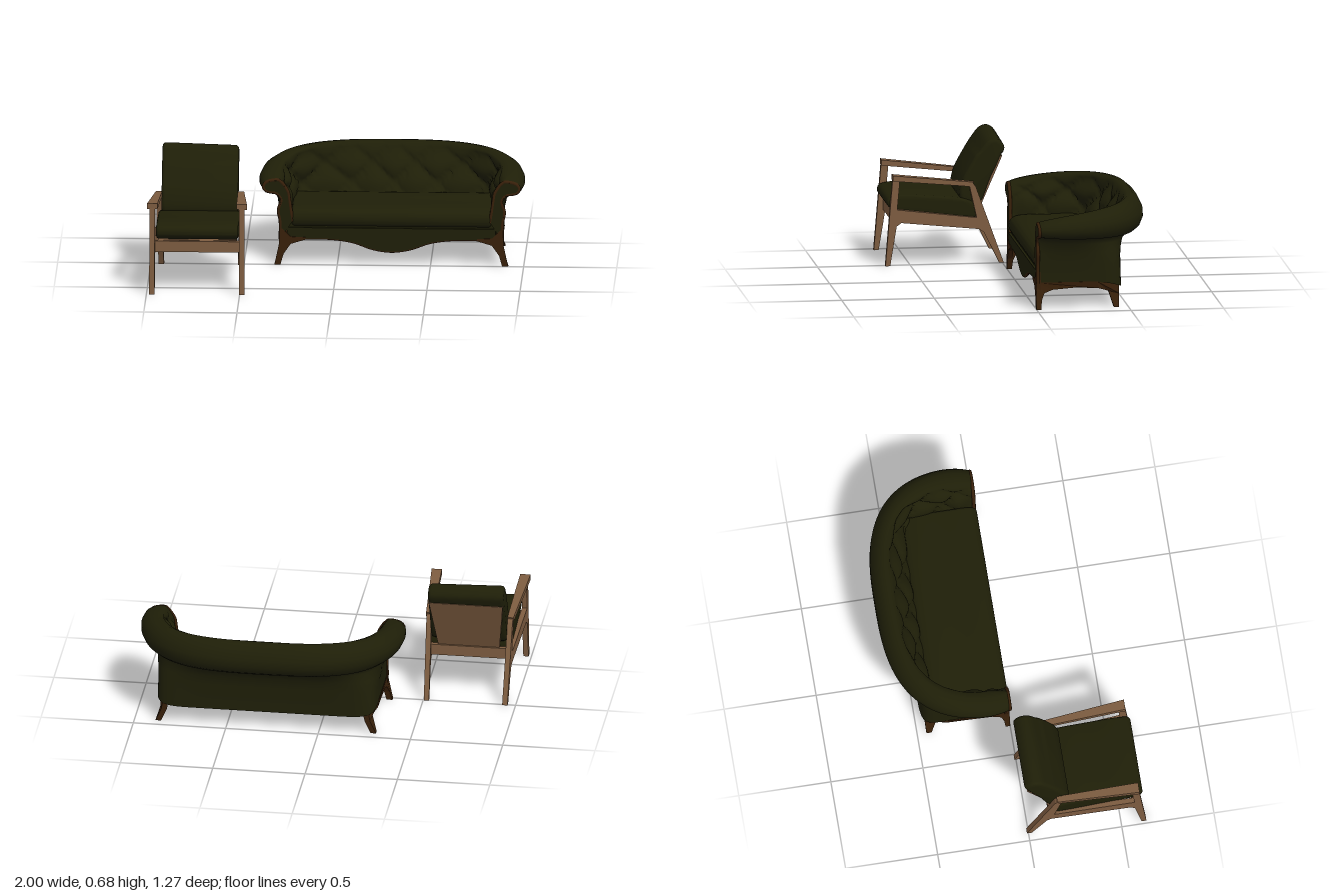
import * as THREE from 'three';
import { toCreasedNormals } from 'three/addons/utils/BufferGeometryUtils.js';

const paint = (name, color, side = THREE.FrontSide) => {
  const m = new THREE.MeshStandardMaterial({ color, side });
  m.name = name;
  return m;
};

function add(parent, name, geometry, material) {
  const mesh = new THREE.Mesh(geometry, material);
  mesh.name = name;
  parent.add(mesh);
  return mesh;
}

const shapeOf = (pts) => new THREE.Shape(pts.map(([a, b]) => new THREE.Vector2(a, b)));

// Closed smooth outline through a few points
function smoothOutline(pts) {
  const curve = new THREE.CatmullRomCurve3(pts.map(([a, b]) => new THREE.Vector3(a, b, 0)), true);
  return curve.getPoints(48).slice(0, -1).map((p) => [p.x, p.y]);
}

// Extrudes a (z, y) outline across x, centred on x = 0
function sideExtrude(pts, width, bevel = 0, hole = null) {
  const shape = shapeOf(pts);
  if (hole) shape.holes.push(shapeOf(hole));
  const depth = width - 2 * bevel;
  const g = new THREE.ExtrudeGeometry(shape, {
    depth, bevelEnabled: bevel > 0, bevelSize: bevel, bevelThickness: bevel, bevelOffset: -bevel, bevelSegments: 4,
  });
  return g.translate(0, 0, -depth / 2).rotateY(-Math.PI / 2);
}

// Moves every vertex by a rule
function warp(geometry, rule) {
  const p = geometry.attributes.position, v = new THREE.Vector3();
  for (let i = 0; i < p.count; i++) {
    rule(v.fromBufferAttribute(p, i));
    p.setXYZ(i, v.x, v.y, v.z);
  }
  geometry.computeVertexNormals();
  return geometry;
}

function createArmchair(fabric, wood) {
  const chair = new THREE.Group();
  chair.name = 'armchair';
  chair.position.x = -0.73;

  // Side frames: legs, rail and arm in one outline, closer together at the back
  const outline = [[0.636, 0], [0.595, 0.492], [0.165, 0.443], [0.145, 0.42], [-0.008, 0], [0.017, 0],
    [0.1, 0.168], [0.125, 0.187], [0.55, 0.233], [0.575, 0.215], [0.61, 0]];
  const opening = [[0.558, 0.462], [0.572, 0.305], [0.14, 0.25], [0.178, 0.42]];
  const armTop = [[0.597, 0.494], [0.597, 0.464], [0.165, 0.42], [0.155, 0.444]];
  for (const s of [1, -1]) {
    const centre = (z) => s * (0.2125 + 0.0275 * z / 0.6);
    const label = s > 0 ? 'left' : 'right';
    add(chair, label + 'Frame', warp(sideExtrude(outline, 0.028, 0, opening), (v) => { v.x += centre(v.z); }), wood);
    add(chair, label + 'Armrest', warp(sideExtrude(armTop, 1), (v) => {
      v.x = centre(v.z) + v.x * (0.026 + 0.05 * v.z);
    }), wood);
  }

  // Cross rails and seat board
  const rail = (name, z, y, w) => add(chair, name, new THREE.BoxGeometry(w, 0.06, 0.025), wood).position.set(0, y, z);
  rail('frontRail', 0.575, 0.253, 0.46);
  rail('backRail', 0.122, 0.25, 0.42);
  add(chair, 'seatBoard', sideExtrude([[0.57, 0.285], [0.13, 0.25], [0.13, 0.235], [0.57, 0.27]], 0.42), wood);

  // Back board, narrower at the bottom
  add(chair, 'backBoard', warp(sideExtrude([[0.012, 0.578], [-0.002, 0.578], [0.128, 0.26], [0.142, 0.26]], 0.4),
    (v) => { v.x *= 0.82 + 0.18 * (v.y - 0.26) / 0.32; }), wood);

  // Cushions
  const seat = smoothOutline([[0.62, 0.325], [0.615, 0.36], [0.56, 0.378], [0.38, 0.37], [0.2, 0.35], [0.145, 0.32],
    [0.14, 0.252], [0.2, 0.246], [0.4, 0.268], [0.57, 0.292]]);
  add(chair, 'seatCushion', toCreasedNormals(sideExtrude(seat, 0.44, 0.016), 0.7), fabric);
  const back = smoothOutline([[0.225, 0.35], [0.215, 0.44], [0.165, 0.54], [0.108, 0.63], [0.07, 0.672], [0.025, 0.68],
    [-0.015, 0.64], [0, 0.585], [0.06, 0.46], [0.122, 0.32], [0.18, 0.315]]);
  add(chair, 'backCushion', toCreasedNormals(warp(sideExtrude(back, 0.41, 0.02), (v) => {
    if (v.y > 0.6) v.y -= 0.012 * (v.x + 0.2) / 0.4;
  }), 0.7), fabric);
  return chair;
}

function createSofa(fabric, openFabric, wood) {
  const sofa = new THREE.Group();
  sofa.name = 'sofa';
  sofa.position.x = 0.29;

  // Section of back and arms, outside to inside: half width, depth, height, squareness
  const levels = [[0.595, 0.475, 0.14, 14], [0.595, 0.475, 0.24, 11], [0.605, 0.485, 0.3, 7], [0.62, 0.51, 0.345, 4.5],
    [0.65, 0.55, 0.372, 3.4], [0.68, 0.59, 0.375, 3], [0.707, 0.62, 0.395, 2.8], [0.72, 0.635, 0.435, 2.8],
    [0.72, 0.632, 0.475, 2.8], [0.705, 0.61, 0.52, 2.8], [0.675, 0.58, 0.546, 2.8], [0.635, 0.55, 0.552, 2.9]];
  const outerCount = levels.length, tuftRows = 16;
  for (let k = 0; k <= tuftRows; k++) {
    const v = k / tuftRows;
    levels.push([0.6 - 0.07 * v ** 0.7, 0.53 - 0.14 * v, 0.54 - 0.3 * v, 3 + 4 * v]);
  }
  const armHeight = (y) => (y < 0.3 ? y : y < 0.375 ? 0.3 + (y - 0.3) * 1.33 : 0.4 + (y - 0.375) * 0.37);

  function surface(i, t) {
    const [w, d, y, n] = levels[i];
    const a = Math.PI * t, c = Math.cos(a), s = Math.sin(a);
    const r = (Math.abs(c) ** n + Math.abs(s) ** n) ** (-1 / n);
    const f = Math.max(0, Math.min(1, r * s));
    let puff = 0;
    if (i >= outerCount) {
      // Diamond tufting
      const v = (i - outerCount) / tuftRows;
      const diamond = Math.abs(Math.sin(Math.PI * (8 * t + 1.5 * v)) * Math.sin(Math.PI * (8 * t - 1.5 * v)));
      puff = 0.045 * (Math.sqrt(diamond) - 0.5) * Math.sin(Math.PI * v) * Math.min(1, f * 4);
    }
    const flare = w > 0.61 ? 1 - 0.05 * (1 - f) ** 8 : 1;
    const h = THREE.MathUtils.lerp(armHeight(y), y, f ** 0.6) - (i === 0 ? 0.04 * f ** 8 : 0);
    return new THREE.Vector3((w - puff) * r * c * flare, h, -(d - puff) * r * s);
  }

  const cols = 128, pos = [], idx = [];
  levels.forEach((_, i) => {
    for (let j = 0; j <= cols; j++) pos.push(...surface(i, j / cols).toArray());
  });
  for (let i = 0; i < levels.length - 1; i++) {
    for (let j = 0; j < cols; j++) {
      const a = i * (cols + 1) + j, b = a + cols + 1;
      idx.push(a, a + 1, b, a + 1, b + 1, b);
    }
  }
  const shell = new THREE.BufferGeometry();
  shell.setAttribute('position', new THREE.Float32BufferAttribute(pos, 3));
  shell.setIndex(idx);
  shell.computeVertexNormals();
  add(sofa, 'tuftedBackAndArms', shell, openFabric);

  // Arm fronts with wooden edging
  for (const t of [0, 1]) {
    const edge = levels.map((_, i) => surface(i, t));
    const label = t ? 'right' : 'left';
    add(sofa, label + 'ArmFront', new THREE.ShapeGeometry(shapeOf(edge.map((p) => [p.x, p.y]))), openFabric).position.z = -0.002;
    const path = new THREE.CatmullRomCurve3(edge.map((p) => p.setZ(-0.01)));
    add(sofa, label + 'ArmEdging', new THREE.TubeGeometry(path, 60, 0.01, 8), wood);
  }

  // Seat and cushion
  const seat = smoothOutline([[-0.002, 0.23], [-0.002, 0.275], [-0.03, 0.302], [-0.2, 0.31], [-0.4, 0.3], [-0.435, 0.25],
    [-0.4, 0.205], [-0.2, 0.2], [-0.03, 0.205]]);
  add(sofa, 'seatCushion', toCreasedNormals(sideExtrude(seat, 1.07, 0.015), 0.7), fabric);
  add(sofa, 'seatBase', new THREE.BoxGeometry(1.12, 0.08, 0.42), fabric).position.set(0, 0.19, -0.225);

  // Scalloped front apron with wooden edging
  const half = [[0.56, 0.115], [0.51, 0.138], [0.43, 0.146], [0.3, 0.142], [0.2, 0.125], [0.1, 0.09]];
  const scallop = [...half.map(([x, y]) => [-x, y]), [0, 0.076], ...half.slice().reverse()];
  const lower = new THREE.CatmullRomCurve3(scallop.map(([x, y]) => new THREE.Vector3(x, y, -0.01)));
  const apron = shapeOf([...lower.getPoints(60).map((p) => [p.x, p.y]), [0.56, 0.205], [-0.56, 0.205]]);
  add(sofa, 'frontApron', new THREE.ExtrudeGeometry(apron, { depth: 0.02, bevelEnabled: false }), fabric).position.z = -0.022;
  add(sofa, 'apronEdging', new THREE.TubeGeometry(lower, 80, 0.008, 8), wood);

  // Underside board, set inside the shell
  const base = Array.from({ length: 65 }, (_, j) => surface(0, j / 64)).map((p) => [p.x * 0.98, 0.025 - p.z * 0.92]);
  const board = new THREE.ExtrudeGeometry(shapeOf(base), { depth: 0.01, bevelEnabled: false }).rotateX(-Math.PI / 2);
  add(sofa, 'undersideBoard', board, wood).position.y = 0.138;

  // Side rails with splayed front and back legs
  const sideRail = [[0, 0.142], [0, 0], [-0.025, 0], [-0.03, 0.05], [-0.045, 0.085], [-0.09, 0.102], [-0.22, 0.112],
    [-0.34, 0.104], [-0.395, 0.085], [-0.422, 0], [-0.45, 0], [-0.452, 0.07], [-0.455, 0.142], [-0.33, 0.142]];
  const frontLeg = [[0.6, 0.2], [0.602, 0.1], [0.625, 0], [0.595, 0], [0.578, 0.06], [0.54, 0.115], [0.46, 0.14],
    [0.46, 0.152], [0.54, 0.155], [0.585, 0.2]];
  for (const s of [1, -1]) {
    const label = s > 0 ? 'left' : 'right';
    add(sofa, label + 'SideRailAndLegs', warp(sideExtrude(sideRail, 0.03), (v) => {
      const rear = THREE.MathUtils.clamp((-0.33 - v.z) / 0.09, 0, 1);
      const splay = (0.03 + 0.015 * rear) * Math.max(0, 1 - v.y / 0.1);
      v.x += s * (0.582 + splay - 0.045 * rear);
    }), wood);
    const pts = frontLeg.map(([x, y]) => [s * x, y]);
    const leg = new THREE.ExtrudeGeometry(shapeOf(pts), { depth: 0.026, bevelEnabled: false });
    add(sofa, label + 'FrontLeg', leg, wood).position.z = -0.025;
  }
  return sofa;
}

export function createModel() {
  const model = new THREE.Group();
  model.name = 'loungeSet';
  const fabric = paint('olive fabric', 0x1f1f08);
  const openFabric = fabric.clone();
  openFabric.side = THREE.DoubleSide;
  const oak = paint('oak wood', 0x7d5c40);
  const walnut = paint('dark walnut', 0x38200a);
  model.add(createArmchair(fabric, oak), createSofa(fabric, openFabric, walnut));
  return model;
}
